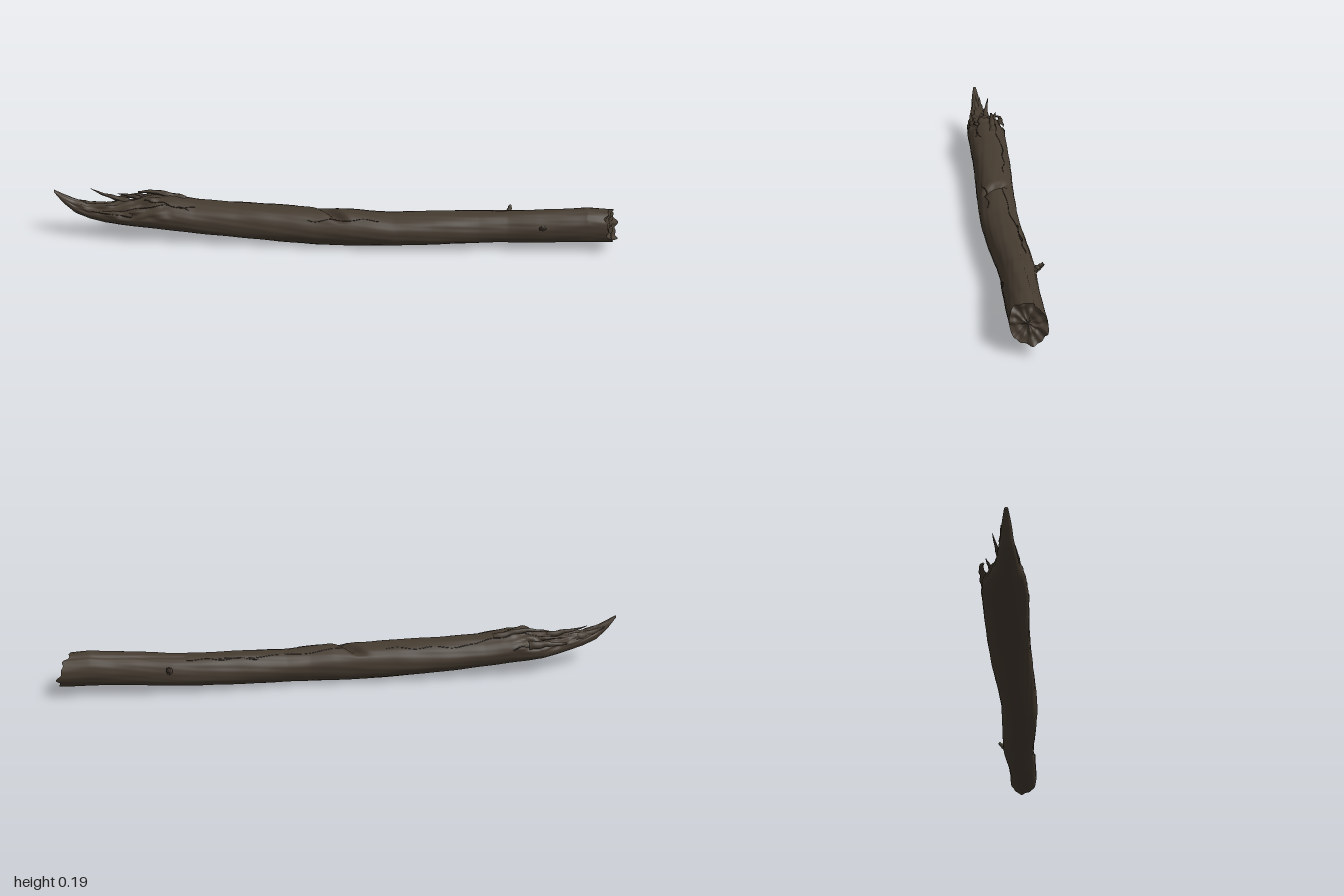
import * as THREE from 'three';

// stations along the log: x, bottom, top, back z, front z
const STATIONS = [
  [-1, .184, .192, -.004, .008], [-.97, .142, .176, -.012, .016], [-.93, .103, .158, -.018, .022],
  [-.88, .083, .143, -.028, .03], [-.82, .068, .142, -.04, .038], [-.77, .062, .145, -.062, .05],
  [-.72, .057, .15, -.083, .058], [-.66, .05, .168, -.087, .063], [-.6, .045, .167, -.086, .064],
  [-.5, .035, .152, -.082, .064], [-.35, .021, .145, -.077, .066], [-.2, .01, .142, -.069, .071],
  [-.08, .005, .138, -.061, .076], [.04, .005, .139, -.054, .08], [.12, .008, .132, -.05, .083],
  [.2, .011, .127, -.05, .083], [.35, .014, .133, -.053, .077], [.5, .02, .135, -.056, .067],
  [.6, .025, .14, -.054, .064], [.7, .03, .149, -.045, .07], [.8, .035, .157, -.04, .073],
  [.88, .038, .165, -.037, .075], [.965, .04, .161, -.036, .075],
];
const smooth = (a, b, v) => THREE.MathUtils.smoothstep(v, a, b);
const bump = (v, c, w) => Math.exp(-(((v - c) / w) ** 2));

function section(x) {
  let i = 0;
  while (i < STATIONS.length - 2 && STATIONS[i + 1][0] < x) i++;
  const a = STATIONS[i], b = STATIONS[i + 1];
  const t = THREE.MathUtils.clamp((x - a[0]) / (b[0] - a[0]), 0, 1);
  return a.map((v, k) => v + (b[k] - v) * t);
}

// bark relief: long wandering ridges, a top notch, and torn wood at the left end
function relief(x, a) {
  const up = Math.sin(a);
  let r = 1 + .012 * Math.sin(3 * a + 5 * x) + .012 * Math.sin(5 * a - 9 * x + 1)
    + .007 * Math.sin(11 * a + 7 * Math.sin(3 * x)) + .005 * Math.sin(19 * a + 23 * x)
    + .006 * Math.sin(47 * x + 2 * a) - .02;
  const notchX = -.02 + .05 * Math.cos(a);
  r -= .38 * bump(x, notchX, .022) * smooth(.55, 1, up);
  r -= .07 * bump(a, 1.95 + .12 * Math.sin(9 * x), .07) * smooth(-.1, .05, x) * smooth(.55, .4, x);
  const torn = (1 - smooth(-.68, -.56, x)) * smooth(-.2, .35, up) * smooth(-1, -.9, x);
  const jag = Math.sin(7 * a + 31 * x) + Math.sin(13 * a - 53 * x) + Math.sin(71 * x + 3 * a);
  return r + torn * (.055 * jag - .05);
}

// point on the log; the right end is cut at a slant
function surface(x, a, inset = 1) {
  const [, y0, y1, z0, z1] = section(x);
  const r = relief(x, a) * inset;
  const y = (y0 + y1) / 2 + (y1 - y0) / 2 * Math.sin(a) * r;
  const z = (z0 + z1) / 2 + (z1 - z0) / 2 * Math.cos(a) * r;
  const w = smooth(.84, .965, x);
  const rough = .005 * Math.sin(6 * a) + .004 * Math.sin(11 * a + 2);
  return new THREE.Vector3(x + w * (-.38 * (z - .02) - .28 * (y - .1) + rough * inset), y, z);
}

function loft(rows, cols, point) {
  const pos = [], idx = [];
  for (let i = 0; i <= rows; i++) for (let j = 0; j < cols; j++) {
    pos.push(...point(i / rows, j / cols * Math.PI * 2).toArray());
    if (i === rows) continue;
    const a = i * cols + j, b = i * cols + (j + 1) % cols;
    idx.push(a, a + cols, b, b, a + cols, b + cols);
  }
  const g = new THREE.BufferGeometry();
  g.setAttribute('position', new THREE.Float32BufferAttribute(pos, 3));
  g.setIndex(idx);
  g.computeVertexNormals();
  return g;
}

export function createModel() {
  const group = new THREE.Group();
  const bark = new THREE.MeshStandardMaterial({ color: 0x453b30 });
  bark.name = 'darkBark';
  const shade = new THREE.MeshStandardMaterial({ color: 0x2a231c });
  shade.name = 'crackBrown';
  const add = (name, geometry, material = bark) => {
    const m = new THREE.Mesh(geometry, material);
    m.name = name;
    group.add(m);
    return m;
  };

  // main log and its two ends
  const n = 72;
  add('log', loft(320, n, (t, a) => surface(-1 + 1.965 * t, a)));
  add('sawnEnd', loft(10, n, (t, a) => {
    const p = surface(.965, a, 1 - t);
    const chips = Math.sin(130 * p.y + 3) * Math.sin(150 * p.z);
    p.x += Math.sin(Math.PI * t) * .006 * chips - .006 * smooth(0, .3, t);
    return p;
  }));
  add('brokenTip', loft(1, n, (t, a) => surface(-1, a, t)));

  // tapering splinters: start, end, base radius
  const splinter = (name, pts, r0, r1 = .001) => {
    const curve = new THREE.CatmullRomCurve3(pts.map(p => new THREE.Vector3(...p)));
    const g = new THREE.TubeGeometry(curve, 14, 1, 8, false);
    const pos = g.attributes.position, v = new THREE.Vector3(), c = new THREE.Vector3();
    for (let i = 0; i < pos.count; i++) {
      const t = Math.floor(i / 9) / 14;
      curve.getPointAt(t, c);
      const r = (r0 + (r1 - r0) * t) * (1 + .15 * Math.sin(19 * t + i % 9 % 8));
      v.fromBufferAttribute(pos, i).sub(c).multiplyScalar(r).add(c);
      pos.setXYZ(i, v.x, v.y, v.z);
    }
    g.computeVertexNormals();
    return add(name, g);
  };
  splinter('topSplinter', [[-.74, .14, -.02], [-.81, .156, -.028], [-.845, .164, -.035], [-.88, .178, -.042]], .013);
  splinter('backSplinter', [[-.66, .125, -.07], [-.72, .132, -.077], [-.77, .13, -.08], [-.8, .126, -.07]], .017, .003);
  splinter('innerSplinter', [[-.68, .135, -.04], [-.74, .145, -.055], [-.79, .147, -.066]], .012);
  splinter('frontSplinter', [[-.72, .115, .035], [-.8, .12, .034], [-.87, .125, .03]], .014);
  splinter('tipSplinter', [[-.85, .12, -.012], [-.91, .138, -.012], [-.96, .158, -.014]], .018);
  splinter('barkFlake', [[-.54, .145, -.03], [-.6, .162, -.033], [-.65, .172, -.036], [-.71, .168, -.04]], .016, .004);

  // broken twig stub on the back and knot on the front
  splinter('twigStub', [[.61, .1, -.045], [.614, .112, -.06], [.618, .125, -.073]], .012, .005);
  const knotAt = surface(.72, .28);
  const knot = add('knot', new THREE.SphereGeometry(.013, 16, 10), shade);
  knot.position.copy(knotAt);
  knot.scale.set(1, .75, .3);

  // thin cracks following the bark: start x, end x, angle, drift
  const cracks = [[-.74, -.5, .75, .3], [-.7, -.45, 1.9, .25], [-.68, -.52, 1.25, -.4], [-.1, .15, .75, .25],
    [0, .45, 1.95, .2], [-.45, -.15, 2.3, -.2], [-.75, -.6, 2.6, .3], [.3, .55, 2.2, -.15]];
  cracks.forEach(([x0, x1, a0, drift], k) => {
    const pts = [];
    for (let i = 0; i <= 24; i++) {
      const t = i / 24;
      pts.push(surface(x0 + (x1 - x0) * t, a0 + drift * t + .07 * Math.sin(14 * t + k), .995));
    }
    add('crack', new THREE.TubeGeometry(new THREE.CatmullRomCurve3(pts), 72, .0018, 5), shade);
  });
  return group;
}
